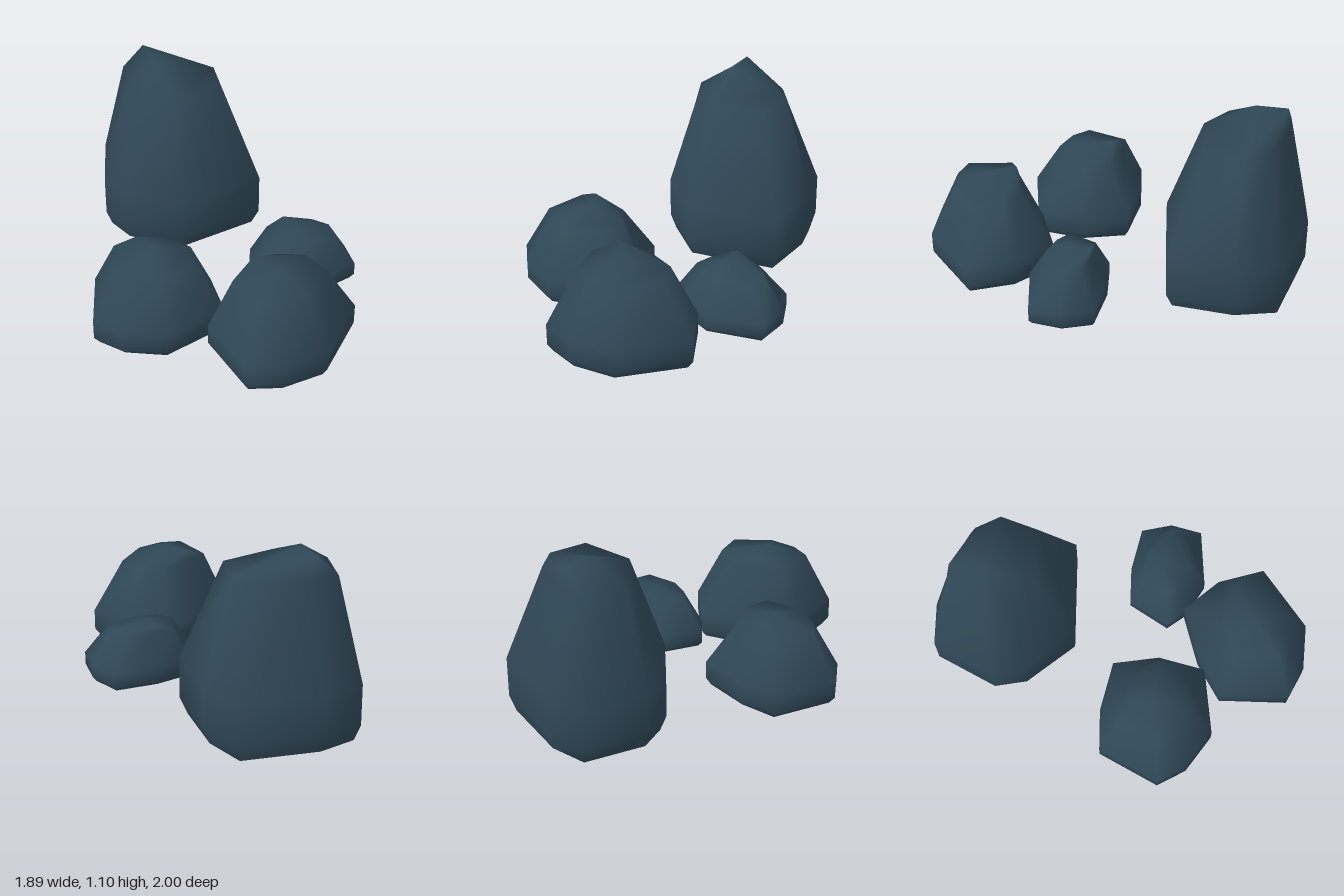
import * as THREE from 'three';

// Each rock: height, ground offset, widest outline [x, z] clockwise from above,
// centre, and the two ends of the ridge along its top
const ROCKS = [
  { name: 'tallRock', top: 1.1, base: 0, outline: [[-0.95, -0.57], [-0.79, -0.76], [-0.36, -1], [-0.13, -0.85],
    [0.11, -0.53], [-0.26, -0.09], [-0.63, -0.1], [-0.8, -0.2]],
    centre: [-0.48, -0.53], ridge: [[-0.69, -0.63], [-0.57, -0.49]] },
  { name: 'frontLeftRock', top: 0.565, base: 0.008, outline: [[0.21, 0.73], [0.26, 0.47], [0.4, 0.17], [0.68, 0.17],
    [0.945, 0.29], [0.905, 0.73], [0.71, 0.925], [0.52, 1]],
    centre: [0.59, 0.56], ridge: [[0.4, 0.53], [0.575, 0.6]] },
  { name: 'frontRock', top: 0.505, base: 0.005, outline: [[-0.565, 0.525], [-0.41, 0.34], [-0.16, 0.16], [0.08, 0.31],
    [0.245, 0.545], [0.02, 0.875], [-0.23, 0.935], [-0.42, 0.895]],
    centre: [-0.16, 0.54], ridge: [[-0.31, 0.48], [-0.19, 0.56]] },
  { name: 'smallRock', top: 0.355, base: 0.01, outline: [[0.19, -0.1], [0.33, -0.26], [0.55, -0.42], [0.72, -0.33],
    [0.83, -0.17], [0.62, 0.11], [0.41, 0.175], [0.27, 0.165]],
    centre: [0.5, -0.11], ridge: [[0.37, -0.18], [0.44, -0.09]] },
];

// How far the shoulder ring reaches from the centre to each outline corner
const SHOULDER = [0.67, 0.6, 0.5, 0.62, 0.56, 0.55, 0.6, 0.63];

// Crown facets: 0-7 are shoulder corners, 8 and 9 the ridge ends
const CROWN = [[1, 0, 8], [2, 1, 8], [3, 2, 8], [9, 3, 8], [5, 3, 9], [5, 4, 3],
  [6, 5, 9], [7, 6, 9], [0, 7, 9], [0, 9, 8]];

function rockGeometry({ top, base, outline, centre, ridge }) {
  const n = outline.length;
  const [cx, cz] = centre;
  const height = (t) => base + t * (top - base);
  const rings = [
    { y: 0, scale: () => 0.92 },
    { y: 0.09, scale: () => 1 },
    { y: 0.32, scale: () => 1 },
    { y: 0.88, scale: (i) => SHOULDER[i] },
  ];
  const positions = [];
  const index = [];
  for (const { y, scale } of rings) {
    outline.forEach(([x, z], i) => positions.push(
      cx + (x - cx) * scale(i), height(y), cz + (z - cz) * scale(i)));
  }
  for (const [x, z] of ridge) positions.push(x, top, z);

  // Sides, open underneath
  const last = (rings.length - 1) * n;
  for (let r = 0; r < last; r += n) {
    for (let i = 0; i < n; i++) {
      const j = (i + 1) % n;
      index.push(r + j, r + i, r + n + i, r + j, r + n + i, r + n + j);
    }
  }
  // Crown
  for (const facet of CROWN) index.push(...facet.map((k) => last + k));

  const geometry = new THREE.BufferGeometry();
  geometry.setAttribute('position', new THREE.Float32BufferAttribute(positions, 3));
  geometry.setIndex(index);
  geometry.computeVertexNormals();
  return geometry;
}

export function createModel() {
  const model = new THREE.Group();
  model.name = 'rockCluster';
  const stone = new THREE.MeshStandardMaterial({ color: 0x2f4857, side: THREE.DoubleSide });
  stone.name = 'slateStone';
  for (const rock of ROCKS) {
    const mesh = new THREE.Mesh(rockGeometry(rock), stone);
    mesh.name = rock.name;
    model.add(mesh);
  }
  return model;
}
